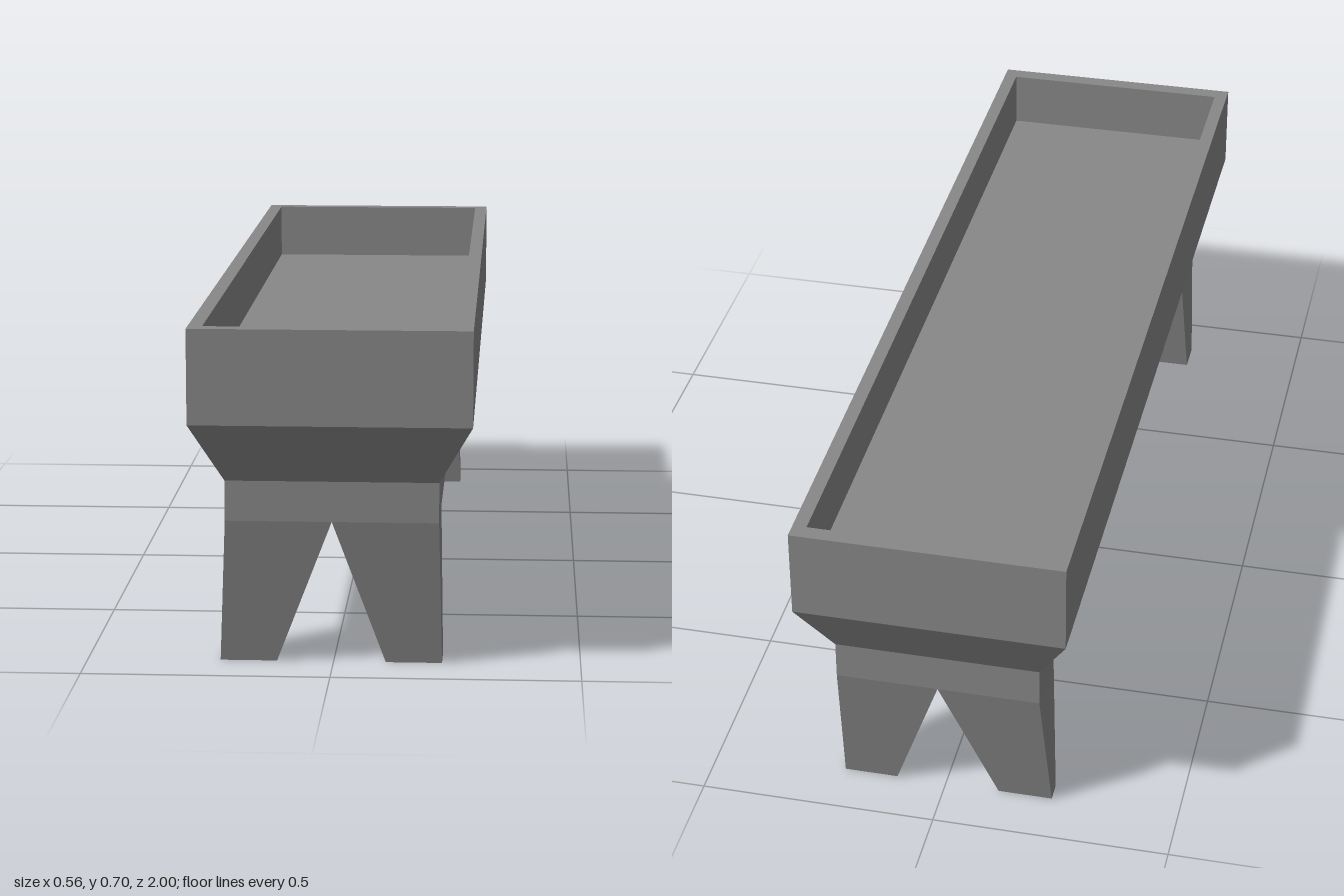
import * as THREE from 'three';

// Skin rectangular rings { y, x: [min, max], z: [min, max] } with flat faces and end caps.
function loftRects(rings) {
  const points = [];
  for (const { y, x, z } of rings) {
    points.push(x[0], y, z[0], x[0], y, z[1], x[1], y, z[1], x[1], y, z[0]);
  }
  const index = [0, 2, 1, 0, 3, 2];
  for (let r = 0; r < rings.length - 1; r++) {
    for (let i = 0; i < 4; i++) {
      const a = r * 4 + i, b = r * 4 + (i + 1) % 4;
      index.push(a, b, b + 4, a, b + 4, a + 4);
    }
  }
  const e = (rings.length - 1) * 4;
  index.push(e, e + 1, e + 2, e, e + 2, e + 3);
  const indexed = new THREE.BufferGeometry();
  indexed.setAttribute('position', new THREE.Float32BufferAttribute(points, 3));
  indexed.setIndex(index);
  const geometry = indexed.toNonIndexed();
  geometry.computeVertexNormals();
  return geometry;
}

export function createModel() {
  const group = new THREE.Group();
  group.name = 'trough';
  const material = new THREE.MeshStandardMaterial({ color: 0x888888, flatShading: true });
  const add = (name, rings) => {
    const mesh = new THREE.Mesh(loftRects(rings), material);
    mesh.name = name;
    group.add(mesh);
  };

  // Basin: base, flare, outer wall, rim, inner wall and floor as [y, half width, half length]
  const legTop = 0.302;
  const profile = [
    [legTop, 0.214, 0.935], [0.384, 0.214, 0.935], [0.508, 0.281, 1],
    [0.7, 0.281, 1], [0.7, 0.252, 0.966], [0.575, 0.252, 0.966],
  ];
  add('basin', profile.map(([y, x, z]) => ({ y, x: [-x, x], z: [-z, z] })));

  // Tapered legs: each pair meets at the middle under the basin and splays to small feet
  const ends = [
    { name: 'front', top: [0.763, 0.935], foot: [0.81, 0.883] },
    { name: 'back', top: [-0.935, -0.793], foot: [-0.883, -0.842] },
  ];
  const sides = [
    { name: 'Left', top: [0, 0.214], foot: [0.106, 0.22] },
    { name: 'Right', top: [-0.214, 0], foot: [-0.23, -0.115] },
  ];
  for (const end of ends) {
    for (const side of sides) {
      add(`${end.name}${side.name}Leg`, [
        { y: 0, x: side.foot, z: end.foot },
        { y: legTop, x: side.top, z: end.top },
      ]);
    }
  }
  return group;
}
